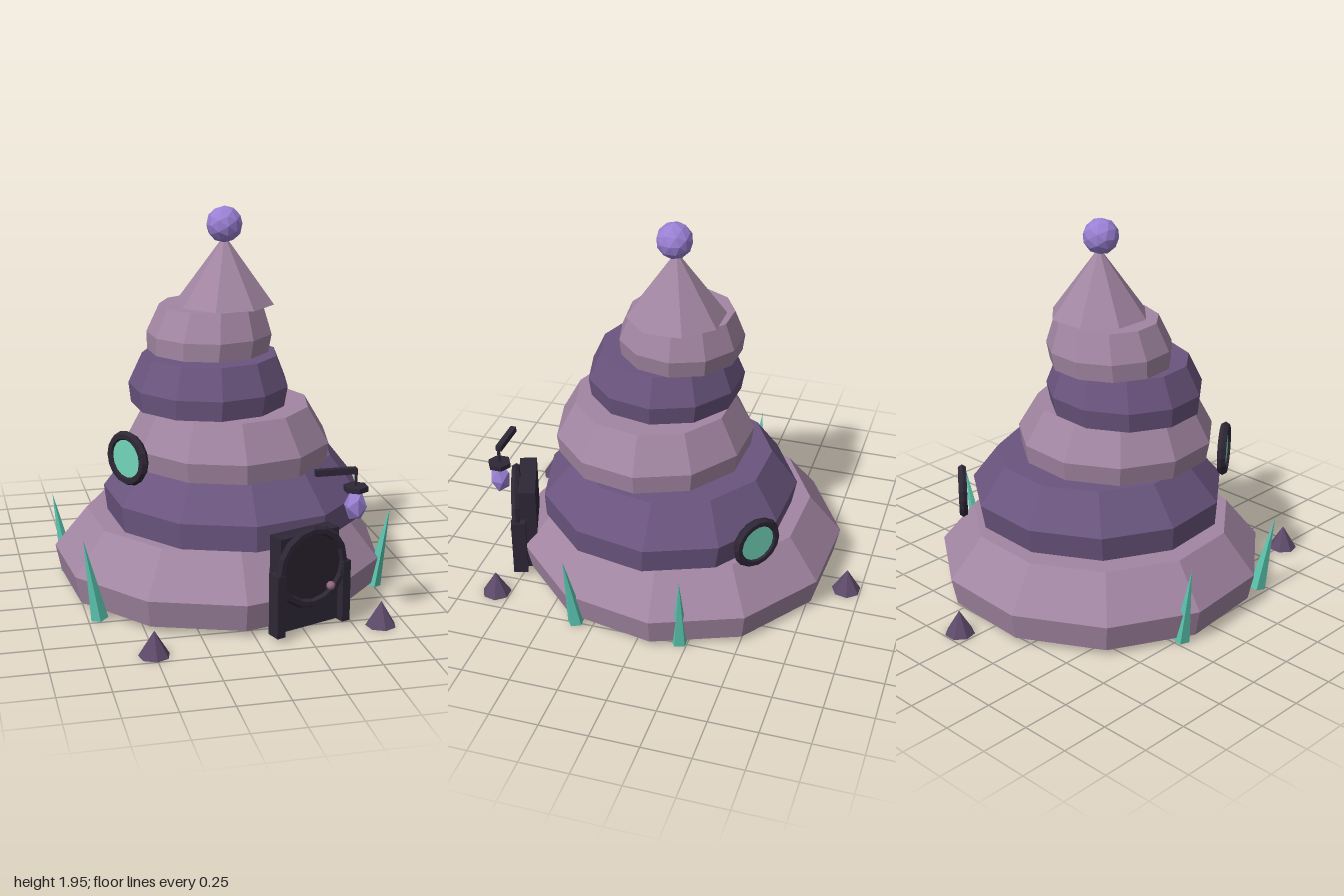
import * as THREE from 'three';

const mat = (name, color) => {
  const m = new THREE.MeshStandardMaterial({ color, flatShading: true });
  m.name = name;
  return m;
};

export function createModel() {
  const root = new THREE.Group();
  root.name = 'spiralHouse';

  const pink = mat('dustyPink', 0xa286a2);
  const purple = mat('plumPurple', 0x6b557f);
  const lilac = mat('lilac', 0x9a80d4);
  const teal = mat('tealCrystal', 0x5cc9b2);
  const glass = mat('aquaGlass', 0x74d6b9);
  const dark = mat('darkFrame', 0x2e2736);
  const panel = mat('doorPanel', 0x2a222e);
  const rock = mat('rockPurple', 0x5e4a6a);
  const knobPink = mat('knobPink', 0x94687c);

  const add = (parent, name, geo, material, x = 0, y = 0, z = 0) => {
    const mesh = new THREE.Mesh(geo, material);
    mesh.name = name;
    mesh.position.set(x, y, z);
    parent.add(mesh);
    return mesh;
  };

  // Stacked shell tiers: [heights], [radii], bottom centre, top centre
  const tiers = [
    [[0.03, 0.17, 0.38], [0.82, 0.85, 0.68], [0, 0], [0, 0]],
    [[0.38, 0.51, 0.70], [0.65, 0.665, 0.515], [0.07, 0.055], [0.07, 0.03]],
    [[0.70, 0.80, 0.98], [0.5, 0.515, 0.415], [0.03, 0.14], [0.02, 0.14]],
    [[0.98, 1.08, 1.23], [0.39, 0.405, 0.34], [-0.07, 0.11], [-0.06, 0.10]],
    [[1.23, 1.32, 1.46], [0.31, 0.32, 0.265], [-0.05, 0.02], [-0.03, 0.01]],
  ];
  tiers.forEach(([h, r, c0, c1], i) => {
    const profile = [[0, h[0]], [r[0], h[0]], [r[1], h[1]], [r[2], h[2]], [0, h[2]]];
    const geo = new THREE.LatheGeometry(profile.map(p => new THREE.Vector2(...p)), 11, -0.05);
    const pos = geo.attributes.position;
    // Lean each tier from its bottom centre to its top centre
    for (let k = 0; k < pos.count; k++) {
      const t = (pos.getY(k) - h[0]) / (h[2] - h[0]);
      pos.setX(k, pos.getX(k) + c0[0] + (c1[0] - c0[0]) * t);
      pos.setZ(k, pos.getZ(k) + c0[1] + (c1[1] - c0[1]) * t);
    }
    add(root, `shellTier${i + 1}`, geo, i % 2 ? purple : pink);
  });

  // Roof cone and ball finial
  add(root, 'roofCone', new THREE.ConeGeometry(0.252, 0.345, 8, 1, false, Math.PI / 8), pink, 0.033, 1.6325, 0.02);
  add(root, 'finialBall', new THREE.IcosahedronGeometry(0.092, 1), lilac, 0.03, 1.86, 0.03);

  // Door: backing box, posts, arch ring, round panel and knob
  const door = new THREE.Group();
  door.name = 'door';
  door.position.set(0.27, 0, 0.825);
  door.rotation.y = THREE.MathUtils.degToRad(20);
  root.add(door);
  add(door, 'doorBacking', new THREE.BoxGeometry(0.34, 0.47, 0.09), dark, 0, 0.265, -0.05);
  for (const s of [-1, 1]) {
    add(door, 'doorPost', new THREE.BoxGeometry(0.045, 0.31, 0.075), dark, s * 0.19, 0.18, 0);
  }
  add(door, 'doorArch', new THREE.TorusGeometry(0.182, 0.023, 6, 16), dark, 0, 0.337, 0.012);
  const disc = add(door, 'doorPanel', new THREE.CylinderGeometry(0.17, 0.17, 0.03, 16), panel, 0, 0.337, 0);
  disc.rotation.x = Math.PI / 2;
  add(door, 'doorKnob', new THREE.IcosahedronGeometry(0.022, 1), knobPink, 0.1, 0.226, 0.03);

  // Hanging lantern on a bracket
  const lantern = new THREE.Group();
  lantern.name = 'lantern';
  lantern.position.set(0.485, 0, 0.825);
  root.add(lantern);
  add(lantern, 'lanternArm', new THREE.BoxGeometry(0.2, 0.03, 0.03), dark, -0.1, 0.8, 0);
  add(lantern, 'lanternRod', new THREE.BoxGeometry(0.012, 0.1, 0.012), dark, 0, 0.76, 0);
  add(lantern, 'lanternCap', new THREE.CylinderGeometry(0.06, 0.06, 0.025, 6), dark, 0, 0.712, 0);
  add(lantern, 'lanternGem', new THREE.IcosahedronGeometry(0.056, 0), lilac, 0, 0.625, 0).scale.y = 1.4;

  // Round windows: [x, y, z, yaw in degrees]
  for (const [x, y, z, yaw] of [[-0.525, 0.785, 0.36, -57], [0.49, 0.51, -0.53, 141]]) {
    const win = new THREE.Group();
    win.name = 'window';
    win.position.set(x, y, z);
    win.rotation.y = THREE.MathUtils.degToRad(yaw);
    root.add(win);
    add(win, 'windowFrame', new THREE.TorusGeometry(0.113, 0.024, 6, 16), dark);
    add(win, 'windowGlass', new THREE.CylinderGeometry(0.105, 0.105, 0.02, 16), glass).rotation.x = Math.PI / 2;
  }

  // Crystal spikes leaning outward: base x, z and tip x, z
  const up = new THREE.Vector3(0, 1, 0);
  for (const [bx, bz, tx, tz] of [
    [0.745, 0.34, 0.82, 0.37], [0.745, -0.21, 0.82, -0.23],
    [-0.695, 0.465, -0.77, 0.495], [-0.76, -0.21, -0.835, -0.23],
  ]) {
    const a = new THREE.Vector3(bx, 0.01, bz);
    const b = new THREE.Vector3(tx, 0.43, tz);
    const spike = add(root, 'crystalSpike', new THREE.ConeGeometry(0.045, a.distanceTo(b), 5), teal);
    spike.position.copy(a).lerp(b, 0.5);
    spike.quaternion.setFromUnitVectors(up, b.sub(a).normalize());
  }

  // Small ground rocks
  for (const [x, z] of [[0.08, -0.925], [-0.505, 0.925], [0.63, 0.825]]) {
    add(root, 'groundRock', new THREE.ConeGeometry(0.076, 0.125, 7), rock, x, 0.0625, z);
  }
  return root;
}
